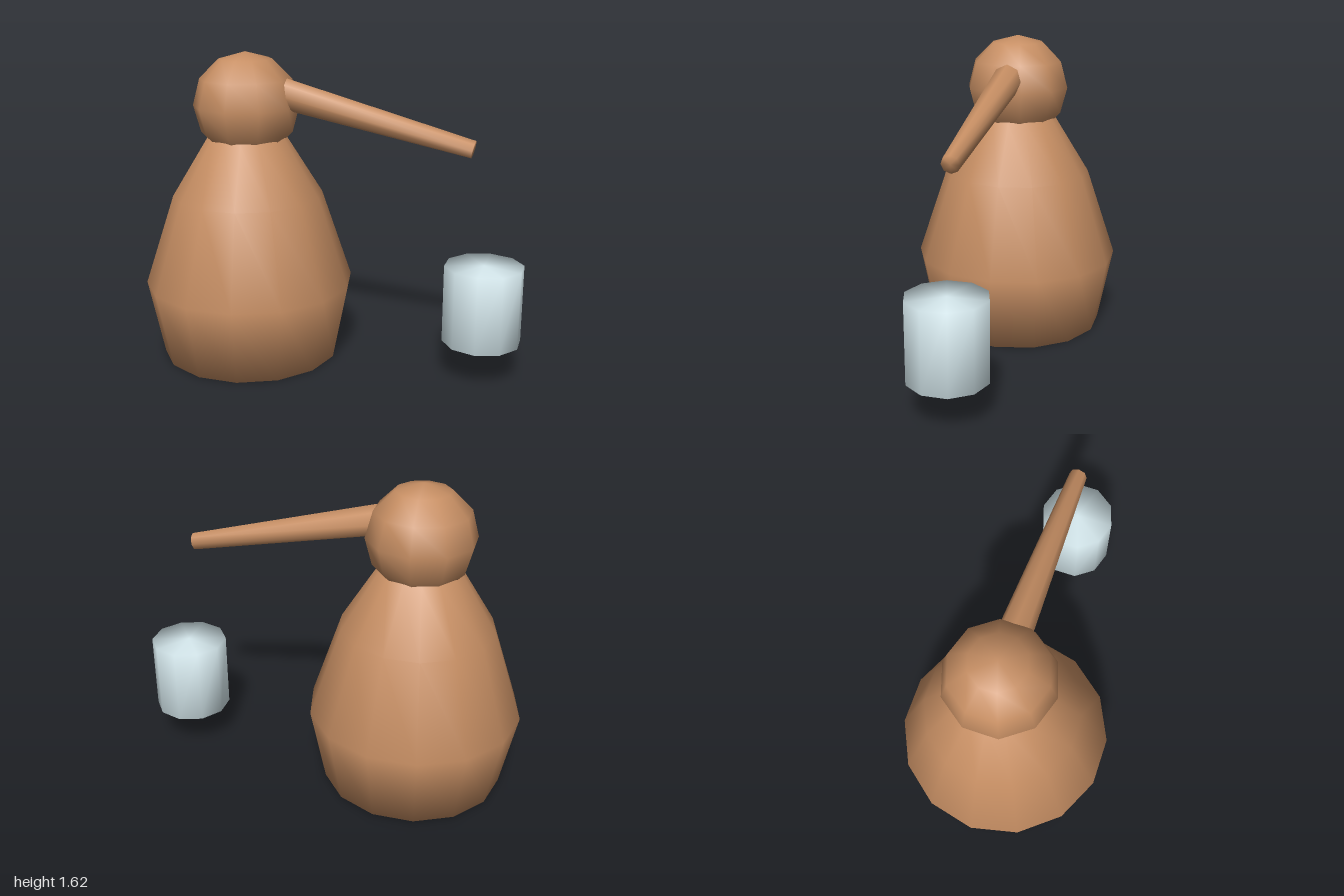
import * as THREE from 'three';
import { mergeVertices } from 'three/addons/utils/BufferGeometryUtils.js';

const wood = new THREE.MeshStandardMaterial({ color: 0xc68e63 });
const glass = new THREE.MeshStandardMaterial({ color: 0xd8ebf0 });

// Weld the seams and rims so the whole surface shades smoothly
function smooth(geometry) {
  geometry.deleteAttribute('uv');
  geometry.deleteAttribute('normal');
  const welded = mergeVertices(geometry, 1e-4);
  welded.computeVertexNormals();
  return welded;
}

function addPart(group, name, geometry, material, x, y, z = 0) {
  const mesh = new THREE.Mesh(smooth(geometry), material);
  mesh.name = name;
  mesh.position.set(x, y, z);
  group.add(mesh);
  return mesh;
}

export function createModel() {
  const group = new THREE.Group();
  group.name = 'drinkingBird';
  const bodyX = -0.45;

  // Pear-shaped body, closed at both ends
  const profile = [[0, 0], [0.47, 0], [0.55, 0.4], [0.393, 0.87], [0.205, 1.175], [0, 1.175]]
    .map(([r, y]) => new THREE.Vector2(r, y));
  const body = new THREE.LatheGeometry(profile, 14).rotateY(Math.PI / 2);
  addPart(group, 'body', body, wood, bodyX, 0);

  // Round head
  const head = new THREE.SphereGeometry(0.275, 10, 6).rotateY(Math.PI / 2);
  addPart(group, 'head', head, wood, bodyX, 1.34);

  // Long tapered beak, sloping down to the left
  const beak = new THREE.CylinderGeometry(0.08, 0.045, 1, 8).rotateZ(Math.PI / 2 - 0.226);
  addPart(group, 'beak', beak, wood, 0.246, 1.296);

  // Tumbler in front of the beak
  addPart(group, 'tumbler', new THREE.CylinderGeometry(0.2, 0.2, 0.4, 10), glass, 0.81, 0.4);

  return group;
}
